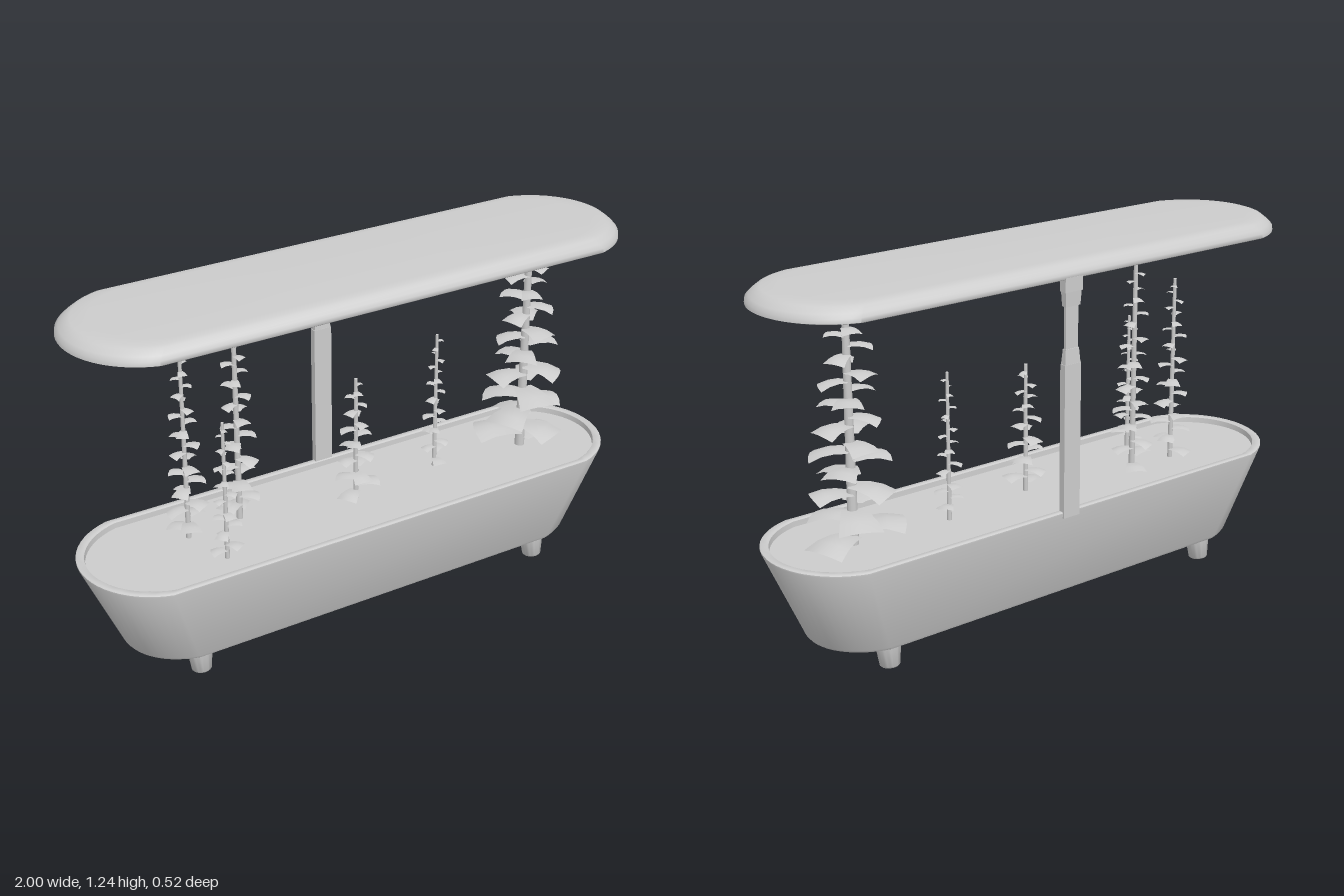
import * as THREE from 'three';
import { mergeGeometries, toCreasedNormals } from 'three/addons/utils/BufferGeometryUtils.js';

const grey = new THREE.MeshStandardMaterial({ color: 0xcccccc });
const leafGrey = new THREE.MeshStandardMaterial({ color: 0xcccccc, side: THREE.DoubleSide });

function add(parent, name, geometry, material = grey) {
  const mesh = new THREE.Mesh(geometry, material);
  mesh.name = name;
  parent.add(mesh);
  return mesh;
}

// Unit outline: long straight sides closed by nearly semicircular ends
function outline() {
  const points = [], steps = 24, sweep = 1.297;
  for (const side of [1, -1]) {
    for (let i = 0; i <= steps; i++) {
      const a = -sweep + (2 * sweep * i) / steps;
      points.push([side * (0.733 + 0.267 * Math.cos(a)), (side * Math.sin(a)) / Math.sin(sweep)]);
    }
  }
  return points;
}

// Skin through outline rings given as [y, half length, half depth]
function loft(rings, crease) {
  const ring = outline(), n = ring.length, position = [], index = [];
  rings.forEach(([y, l, d], i) => {
    ring.forEach(([x, z], j) => {
      position.push(x * l, y, z * d);
      if (i === rings.length - 1) return;
      const a = i * n + j, b = i * n + ((j + 1) % n);
      if (rings[i][1] > 0) index.push(a, a + n, b);
      if (rings[i + 1][1] > 0) index.push(b, a + n, b + n);
    });
  });
  const g = new THREE.BufferGeometry();
  g.setAttribute('position', new THREE.Float32BufferAttribute(position, 3));
  g.setIndex(index);
  return toCreasedNormals(g, crease);
}

// Broad leaf reaching along +x, widening outwards, arched across and drooping
function leaf(length, width) {
  const g = new THREE.PlaneGeometry(1, 1, 3, 4);
  const p = g.attributes.position;
  for (let i = 0; i < p.count; i++) {
    const u = p.getX(i) + 0.5, v = p.getY(i) * 2;
    p.setXYZ(i,
      length * u * (1 - 0.1 * v * v),
      length * (0.14 * Math.sin(u * 2.4) - 0.12 * u - 0.1 * v * v * u),
      -width * 0.5 * v * (0.5 + 0.5 * u));
  }
  g.computeVertexNormals();
  return g;
}

// Stem with a spiral of leaves that shrink towards the top
function plant({ x, z, top, reach, radius, count, turn }) {
  const group = new THREE.Group(), base = 0.38, height = top - base;
  group.name = 'plant';
  group.position.set(x, base, z);
  const stem = new THREE.CylinderGeometry(radius * 0.65, radius, height, 10);
  add(group, 'stem', stem.translate(0, height / 2, 0));
  const leaves = [];
  for (let i = 0; i < count; i++) {
    const t = i / (count - 1);
    const length = reach * (1 - 0.6 * t) * (0.93 + 0.07 * Math.sin(i * 2.1));
    const g = leaf(length, length * 0.95);
    g.rotateZ(0.1 * Math.sin(i * 1.7));
    g.rotateY(turn + i * 2.4);
    leaves.push(g.translate(0, 0.035 + t * (height - 0.06), 0));
  }
  add(group, 'leaves', mergeGeometries(leaves), leafGrey);
  return group;
}

export function createModel() {
  const model = new THREE.Group();
  model.name = 'indoorGarden';

  // Tapered trough with a raised rim and recessed planting bed
  add(model, 'planter', loft([
    [0.083, 0, 0], [0.083, 0.848, 0.178], [0.086, 0.86, 0.187], [0.096, 0.868, 0.192],
    [0.398, 0.998, 0.254], [0.403, 0.998, 0.254], [0.406, 0.994, 0.25],
    [0.406, 0.976, 0.234], [0.403, 0.972, 0.23], [0.384, 0.97, 0.229],
  ], 0.7));
  add(model, 'plantingBed', loft([[0.384, 0.972, 0.231], [0.384, 0, 0]], 0.7));

  // Four splayed feet
  const footProfile = [[0, 0], [0.028, 0], [0.033, 0.005], [0.045, 0.1]].map(
    ([r, y]) => new THREE.Vector2(r, y));
  const footGeometry = toCreasedNormals(new THREE.LatheGeometry(footProfile, 24), 0.8);
  for (const x of [-0.67, 0.67]) {
    for (const side of [1, -1]) {
      const foot = add(model, 'foot', footGeometry);
      foot.position.set(x, 0.004, side * 0.143);
      foot.rotation.x = -side * 0.12;
    }
  }

  // Telescopic post at the back: each section is [y0, y1, width, depth, top width, top depth]
  const post = new THREE.Group();
  post.name = 'post';
  post.position.set(0.022, 0, -0.246);
  model.add(post);
  const section = (name, y0, y1, w, d, w1 = w, d1 = d) => {
    const g = new THREE.BoxGeometry(w, y1 - y0, d).toNonIndexed();
    const p = g.attributes.position;
    for (let i = 0; i < p.count; i++) {
      if (p.getY(i) > 0) p.setXYZ(i, p.getX(i) * w1 / w, p.getY(i), p.getZ(i) * d1 / d);
    }
    g.computeVertexNormals();
    add(post, name, g.translate(0, (y0 + y1) / 2, 0));
  };
  section('lowerPost', 0.385, 0.91, 0.066, 0.024);
  section('postCollar', 0.91, 0.96, 0.062, 0.022, 0.054, 0.015);
  section('upperPost', 0.96, 1.105, 0.05, 0.01);
  section('lowerBracket', 1.1, 1.148, 0.058, 0.02, 0.064, 0.024);
  section('upperBracket', 1.148, 1.195, 0.07, 0.029);

  // Long lamp hood with a bevelled upper edge
  add(model, 'lampHood', loft([
    [1.19, 0, 0], [1.19, 0.995, 0.258], [1.192, 1, 0.26], [1.206, 0.998, 0.259],
    [1.218, 0.987, 0.25], [1.234, 0.967, 0.236], [1.239, 0.952, 0.226],
    [1.241, 0.9, 0.2], [1.242, 0, 0],
  ], 0.9));

  // Plants
  [
    { x: 0.70, z: 0, top: 1.15, reach: 0.175, radius: 0.018, count: 26, turn: 0.3 },
    { x: -0.40, z: -0.073, top: 1.15, reach: 0.085, radius: 0.011, count: 26, turn: 1.1 },
    { x: -0.60, z: -0.052, top: 1.04, reach: 0.08, radius: 0.009, count: 24, turn: 2.0 },
    { x: -0.55, z: 0.124, top: 0.875, reach: 0.058, radius: 0.008, count: 20, turn: 2.9 },
    { x: 0, z: 0.015, top: 0.835, reach: 0.085, radius: 0.009, count: 18, turn: 3.7 },
    { x: 0.35, z: -0.03, top: 0.89, reach: 0.058, radius: 0.008, count: 20, turn: 4.6 },
  ].forEach((spec) => model.add(plant(spec)));

  return model;
}
